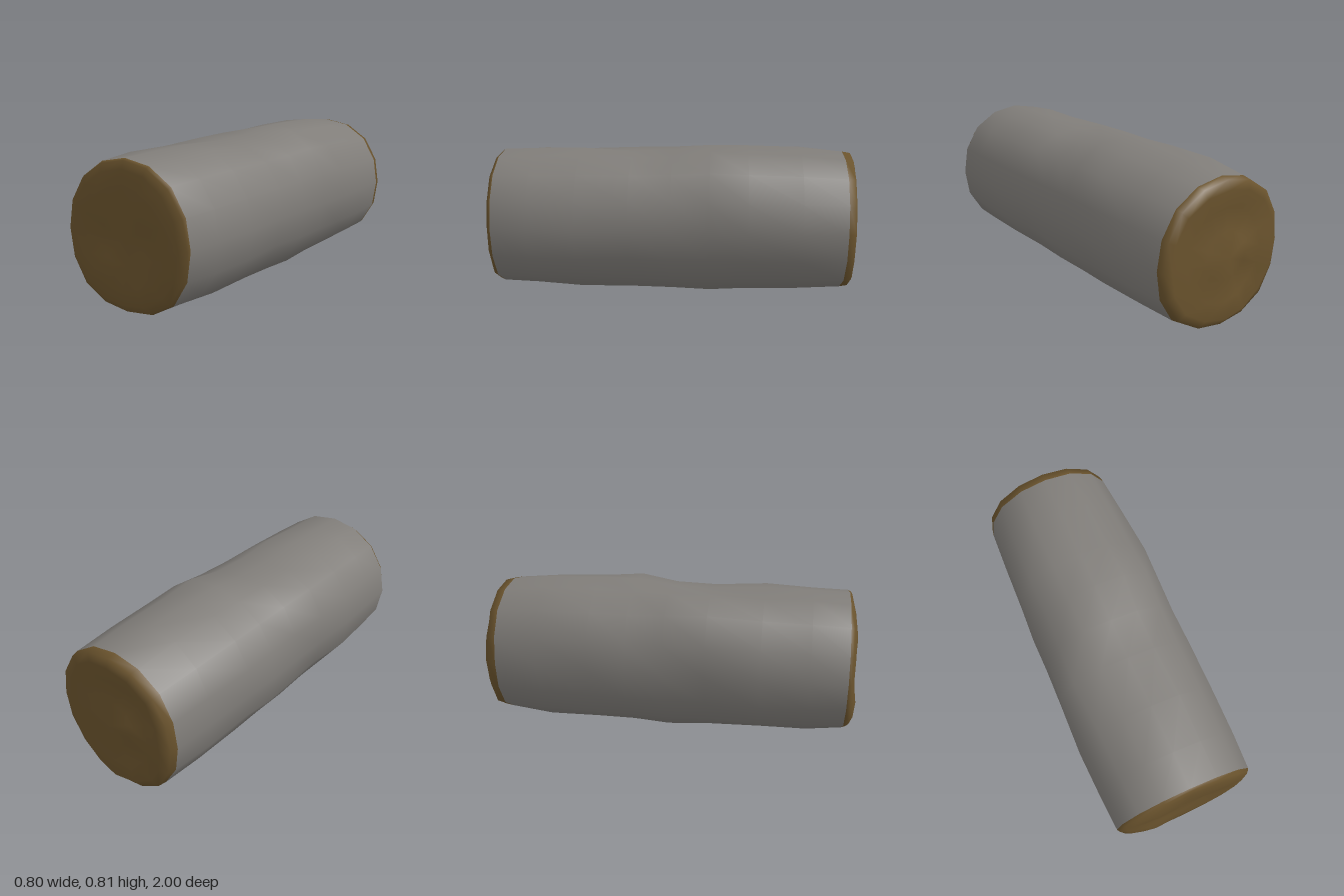
import * as THREE from 'three';

const SIDES = 16;
const AXIS_Y = 0.405;

// Bark cross-sections: z, then radii every 45 degrees from +x towards +y
const BARK = [
  [0.94, 0.375, 0.385, 0.375, 0.378, 0.378, 0.378, 0.36, 0.385],
  [0.75, 0.385, 0.392, 0.38, 0.39, 0.39, 0.39, 0.375, 0.39],
  [0.50, 0.398, 0.397, 0.384, 0.40, 0.40, 0.40, 0.386, 0.393],
  [0.22, 0.383, 0.397, 0.37, 0.428, 0.392, 0.395, 0.385, 0.39],
  [0.00, 0.385, 0.405, 0.376, 0.415, 0.388, 0.40, 0.402, 0.395],
  [-0.20, 0.392, 0.423, 0.405, 0.402, 0.39, 0.395, 0.40, 0.393],
  [-0.40, 0.40, 0.412, 0.405, 0.41, 0.38, 0.395, 0.382, 0.395],
  [-0.68, 0.386, 0.40, 0.398, 0.402, 0.372, 0.39, 0.389, 0.39],
  [-0.91, 0.37, 0.383, 0.375, 0.382, 0.362, 0.378, 0.365, 0.383],
];

// Cut ends from rim to middle: fraction of rim radius, then bulge every 45 degrees
const FRONT_CUT = [
  [0.975, 0.012, 0.018, 0.012, 0.018, 0.015, 0.025, 0.02, 0.02],
  [0.87, 0.03, 0.032, 0.022, 0.035, 0.03, 0.046, 0.045, 0.038],
  [0.65, 0.034, 0.038, 0.026, 0.045, 0.032, 0.06, 0.042, 0.045],
  [0.34, 0.022, 0.032, 0.028, 0.034, 0.032, 0.042, 0.032, 0.026],
  [0, 0.026, 0.026, 0.026, 0.026, 0.026, 0.026, 0.026, 0.026],
];
const BACK_CUT = [
  [0.98, 0.038, 0.038, 0.044, 0.042, 0.04, 0.045, 0.045, 0.038],
  [0.86, 0.045, 0.044, 0.062, 0.058, 0.072, 0.065, 0.085, 0.052],
  [0.62, 0.044, 0.038, 0.045, 0.036, 0.06, 0.045, 0.075, 0.055],
  [0.32, 0.06, 0.05, 0.055, 0.05, 0.07, 0.06, 0.07, 0.065],
  [0, 0.085, 0.085, 0.085, 0.085, 0.085, 0.085, 0.085, 0.085],
];

// Smooth periodic value of one table row at an angle
function valueAt(row, angle) {
  const u = (angle / (Math.PI * 2)) * 8;
  const k = Math.floor(u), t = u - k;
  const v = (i) => row[1 + ((i + 8) % 8)];
  const [a, b, c, d] = [v(k - 1), v(k), v(k + 1), v(k + 2)];
  return b + 0.5 * t * (c - a + t * (2 * a - 5 * b + 4 * c - d + t * (3 * (b - c) + d - a)));
}

// Each ring maps an angle to [radius, z]
function barkRing(section, n) {
  const inner = n > 0 && n < BARK.length - 1;
  return (angle) => {
    // lumps on the in-between corners only
    const lump = inner ? Math.sin(angle * 4) ** 2 * (0.003 + 0.006 * Math.sin(angle * 3 + n * 2.1)) : 0;
    return [valueAt(section, angle) + lump, section[0]];
  };
}

function cutRing(section, cut, side) {
  return (angle) => [valueAt(section, angle) * cut[0], section[0] + side * valueAt(cut, angle)];
}

export function createModel() {
  const bark = new THREE.MeshStandardMaterial({ color: 0x807d79 });
  bark.name = 'bark grey';
  const wood = new THREE.MeshStandardMaterial({ color: 0x6a532d });
  wood.name = 'cut wood brown';

  // Rings run from the middle of the front cut, along the bark, to the back cut
  const first = BARK[0], last = BARK[BARK.length - 1];
  const rings = [
    ...FRONT_CUT.map((c) => cutRing(first, c, 1)).reverse(),
    ...BARK.map(barkRing),
    ...BACK_CUT.map((c) => cutRing(last, c, -1)),
  ];
  const end = rings.length - 1;

  const positions = [];
  rings.forEach((ring, i) => {
    const count = i === 0 || i === end ? 1 : SIDES;
    for (let j = 0; j < count; j++) {
      const angle = (j / SIDES) * Math.PI * 2;
      const [r, z] = ring(angle);
      positions.push(r * Math.cos(angle), AXIS_Y + r * Math.sin(angle), z);
    }
  });

  const id = (i, j) => {
    if (i === 0) return 0;
    return 1 + (i - 1) * SIDES + (i === end ? 0 : j % SIDES);
  };
  const indices = [];
  const geometry = new THREE.BufferGeometry();
  const addBand = (from, to, material) => {
    const start = indices.length;
    for (let i = from; i < to; i++) {
      for (let j = 0; j < SIDES; j++) {
        const a = id(i, j), b = id(i + 1, j), c = id(i + 1, j + 1), d = id(i, j + 1);
        if (i > 0) indices.push(a, b, d);
        if (i + 1 < end) indices.push(b, c, d);
        else indices.push();
      }
    }
    geometry.addGroup(start, indices.length - start, material);
  };
  const barkStart = FRONT_CUT.length, barkEnd = barkStart + BARK.length - 1;
  addBand(0, barkStart, 1); // front cut
  addBand(barkStart, barkEnd, 0); // bark
  addBand(barkEnd, end, 1); // back cut

  geometry.setAttribute('position', new THREE.Float32BufferAttribute(positions, 3));
  geometry.setIndex(indices);
  geometry.computeVertexNormals();

  const log = new THREE.Mesh(geometry, [bark, wood]);
  log.name = 'log';
  const group = new THREE.Group();
  group.name = 'cutLog';
  group.add(log);
  return group;
}
